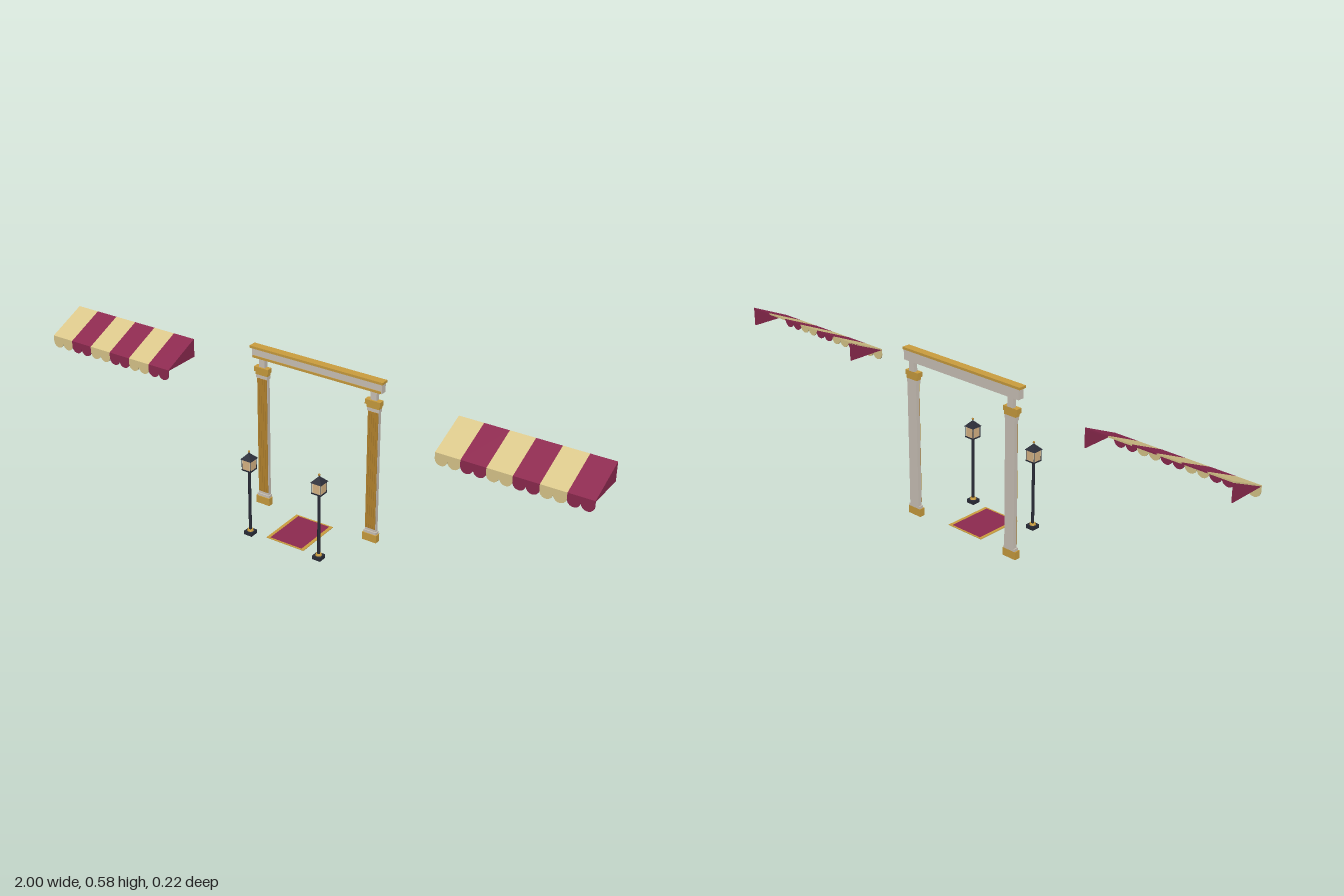
import * as THREE from 'three';

const mat = (name, color) => {
  const m = new THREE.MeshStandardMaterial({ color });
  m.name = name;
  return m;
};

export function createModel() {
  const stone = mat('stone', 0xcfc6bb);
  const gold = mat('gold', 0xcc9f3f);
  const darkGold = mat('dark gold', 0xb8862f);
  const red = mat('burgundy', 0x8e2a50);
  const cream = mat('cream', 0xdcc98c);
  const black = mat('blue black', 0x2a2c38);
  const glass = mat('warm glass', 0xdcb888);
  const pale = mat('pale frame', 0xe6d6b4);

  const model = new THREE.Group();
  model.name = 'entranceSet';

  const group = (name, x = 0, y = 0, z = 0) => {
    const g = new THREE.Group();
    g.name = name;
    g.position.set(x, y, z);
    model.add(g);
    return g;
  };
  const add = (parent, name, geometry, material) => {
    const m = new THREE.Mesh(geometry, material);
    m.name = name;
    parent.add(m);
    return m;
  };
  // Box given by centre x, width, and y and z ranges
  const box = (parent, name, material, x, w, y0, y1, z0, z1) => {
    const m = add(parent, name, new THREE.BoxGeometry(w, y1 - y0, z1 - z0), material);
    m.position.set(x, (y0 + y1) / 2, (z0 + z1) / 2);
    return m;
  };
  // Profile of [z, y] points extruded along x, centred on x = 0
  const extrudeX = (points, width) => {
    const shape = new THREE.Shape(points.map(([z, y]) => new THREE.Vector2(z, y)));
    const g = new THREE.ExtrudeGeometry(shape, { depth: width, bevelEnabled: false });
    g.translate(0, 0, -width / 2);
    return g.rotateY(-Math.PI / 2);
  };

  // Pilasters with fluted fronts, joined by a lintel
  const back = -0.108;
  for (const side of [-1, 1]) {
    const p = group(side > 0 ? 'leftPilaster' : 'rightPilaster', side * 0.21);
    box(p, 'base', gold, 0, 0.053, 0, 0.027, back, -0.088);
    box(p, 'baseMoulding', stone, 0, 0.046, 0.027, 0.036, back, -0.091);
    box(p, 'shaft', stone, 0, 0.039, 0.036, 0.468, back, -0.0945);
    for (let i = -2; i <= 2; i++) {
      box(p, 'flute', darkGold, i * 0.0076, 0.0066, 0.046, 0.464, -0.0945, -0.092);
    }
    box(p, 'capitalMoulding', stone, 0, 0.044, 0.466, 0.478, back, -0.091);
    box(p, 'capital', gold, 0, 0.046, 0.478, 0.489, back, -0.09);
    box(p, 'abacus', gold, 0, 0.055, 0.489, 0.505, back, -0.087);
    box(p, 'neck', stone, 0, 0.022, 0.505, 0.537, back, -0.093);
  }
  const lintel = group('lintel');
  box(lintel, 'beam', stone, 0, 0.486, 0.537, 0.57, back, -0.086);
  box(lintel, 'lowerTrim', gold, 0, 0.48, 0.537, 0.545, -0.086, -0.084);
  box(lintel, 'cornice', gold, 0, 0.496, 0.57, 0.578, back, -0.08);

  // Striped awnings with scalloped valances
  const width = 0.503, stripes = 6, sw = width / stripes;
  const canopy = extrudeX([[back, 0.523], [0.029, 0.464], [0.03, 0.467], [back, 0.528]], sw);
  const gable = extrudeX([[back, 0.464], [0.028, 0.464], [0.028, 0.466], [back, 0.525]], 0.003);
  const r = sw / 4;
  const edge = new THREE.Shape();
  edge.moveTo(-sw / 2, 0.467);
  edge.lineTo(-sw / 2, 0.448);
  edge.absarc(-r, 0.448, r, Math.PI, Math.PI * 2, false);
  edge.absarc(r, 0.448, r, Math.PI, Math.PI * 2, false);
  edge.lineTo(sw / 2, 0.467);
  const valance = new THREE.ExtrudeGeometry(edge, { depth: 0.003, bevelEnabled: false, curveSegments: 10 });
  valance.translate(0, 0, 0.0275);
  for (const side of [-1, 1]) {
    const a = group(side > 0 ? 'leftAwning' : 'rightAwning', side * (1 - width / 2));
    for (let i = 0; i < stripes; i++) {
      const x = (i + 0.5) * sw - width / 2;
      const m = i % 2 ? red : cream;
      add(a, 'canopyStripe', canopy, m).position.x = x;
      add(a, 'valanceStripe', valance, m).position.x = x;
    }
    for (const end of [-1, 1]) {
      add(a, 'endPanel', gable, red).position.x = end * (width / 2 - 0.0015);
    }
  }

  // Lamp posts with square lanterns
  for (const side of [-1, 1]) {
    const l = group(side > 0 ? 'leftLamp' : 'rightLamp', side * 0.133, 0, 0.089);
    const square = (name, m, w, y0, y1) => box(l, name, m, 0, w, y0, y1, -w / 2, w / 2);
    const round = (name, m, rTop, rBottom, y0, y1, n = 12) => {
      const c = add(l, name, new THREE.CylinderGeometry(rTop, rBottom, y1 - y0, n), m);
      c.position.y = (y0 + y1) / 2;
      return c;
    };
    square('foot', black, 0.03, 0, 0.013);
    round('footCollar', gold, 0.009, 0.011, 0.013, 0.019);
    round('pole', black, 0.005, 0.005, 0.019, 0.235);
    round('topCollar', gold, 0.01, 0.008, 0.234, 0.239);
    square('lanternFloor', black, 0.036, 0.239, 0.243);
    square('lanternBody', pale, 0.032, 0.243, 0.278);
    for (let i = 0; i < 4; i++) {
      const pane = add(l, 'pane', new THREE.BoxGeometry(0.025, 0.032, 0.001), glass);
      pane.rotation.y = i * Math.PI / 2;
      pane.position.set(Math.sin(pane.rotation.y) * 0.0162, 0.26, Math.cos(pane.rotation.y) * 0.0162);
      box(l, 'cornerPost', black, (i % 2 ? 1 : -1) * 0.0163, 0.0015, 0.243, 0.278,
        (i < 2 ? 1 : -1) * 0.0163 - 0.00075, (i < 2 ? 1 : -1) * 0.0163 + 0.00075);
    }
    const roofGeo = new THREE.CylinderGeometry(0.002, 0.029, 0.02, 4, 1).toNonIndexed();
    roofGeo.computeVertexNormals();
    const roof = add(l, 'lanternRoof', roofGeo, black);
    roof.rotation.y = Math.PI / 4;
    roof.position.y = 0.288;
    round('finialStem', black, 0.0012, 0.0012, 0.296, 0.302, 8);
    add(l, 'finial', new THREE.SphereGeometry(0.0038, 12, 8), darkGold).position.y = 0.3035;
  }

  // Doormat with a gold border
  const mat0 = group('carpet');
  box(mat0, 'carpetField', red, 0, 0.122, 0.0035, 0.0055, -0.082, 0.079);
  for (const s of [-1, 1]) {
    box(mat0, 'sideBorder', gold, s * 0.0665, 0.011, 0.0035, 0.0055, -0.088, 0.085);
    box(mat0, 'endBorder', gold, 0, 0.122, 0.0035, 0.0055, s > 0 ? 0.079 : -0.088, s > 0 ? 0.085 : -0.082);
  }
  return model;
}
